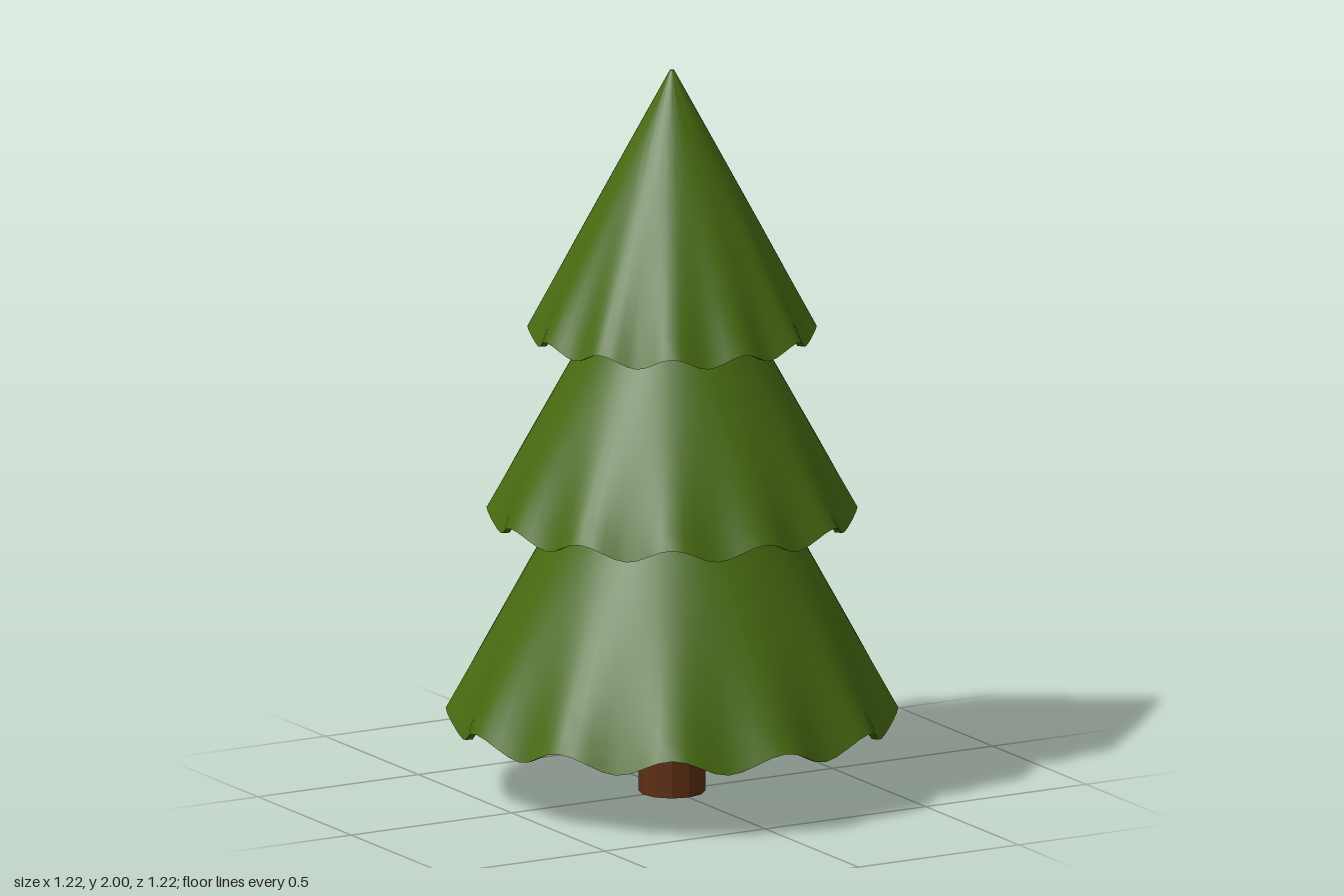
import * as THREE from 'three';
import { toCreasedNormals } from 'three/addons/utils/BufferGeometryUtils.js';

const WAVES = 12;
const green = new THREE.MeshStandardMaterial({ color: 0x486a11 });
const brown = new THREE.MeshStandardMaterial({ color: 0x5c2f12 });

// Hollow cone skirt with a scalloped rim: lathe a thin shell, then wave its lower part
function tier(name, { topR, topY, rimR, rimY, drop, tuck }) {
  const steps = 12, wall = 0.02;
  const outer = [], inner = [];
  for (let i = 0; i <= steps; i++) {
    const t = i / steps;
    const r = THREE.MathUtils.lerp(topR, rimR, t);
    const y = THREE.MathUtils.lerp(topY, rimY, t);
    outer.unshift(new THREE.Vector2(r, y));
    if (r > wall) inner.push(new THREE.Vector2(r - wall, i ? y : y - wall));
  }
  const profile = [
    new THREE.Vector2(0, inner[0].y), ...inner, ...outer, new THREE.Vector2(0, topY),
  ];
  const geo = new THREE.LatheGeometry(profile, WAVES * 8);

  // Between the twelve high points the rim dips down and tucks inward
  const p = geo.attributes.position;
  for (let i = 0; i < p.count; i++) {
    const x = p.getX(i), y = p.getY(i), z = p.getZ(i);
    const r = Math.hypot(x, z);
    if (r < 1e-5) continue;
    const fade = Math.pow((topY - y) / (topY - rimY), 4);
    const dip = fade * (1 - Math.cos(WAVES * Math.atan2(x, z))) / 2;
    const s = (r - tuck * dip) / r;
    p.setXYZ(i, x * s, y - drop * dip, z * s);
  }
  const mesh = new THREE.Mesh(toCreasedNormals(geo, 0.8), green);
  mesh.name = name;
  return mesh;
}

export function createModel() {
  const tree = new THREE.Group();
  tree.name = 'pineTree';

  // Foliage, bottom to top
  tree.add(
    tier('lowerFoliage', { topR: 0.238, topY: 0.9, rimR: 0.61, rimY: 0.23, drop: 0.05, tuck: 0.026 }),
    tier('middleFoliage', { topR: 0.19, topY: 1.34, rimR: 0.5, rimY: 0.787, drop: 0.04, tuck: 0.02 }),
    tier('upperFoliage', { topR: 0.006, topY: 2, rimR: 0.39, rimY: 1.29, drop: 0.033, tuck: 0.016 }),
  );

  // Trunk, running up inside the lowest skirt
  const trunkGeo = new THREE.CylinderGeometry(0.09, 0.09, 0.88, 12).translate(0, 0.44, 0);
  const trunk = new THREE.Mesh(toCreasedNormals(trunkGeo, 0.3), brown);
  trunk.name = 'trunk';
  tree.add(trunk);

  return tree;
}
